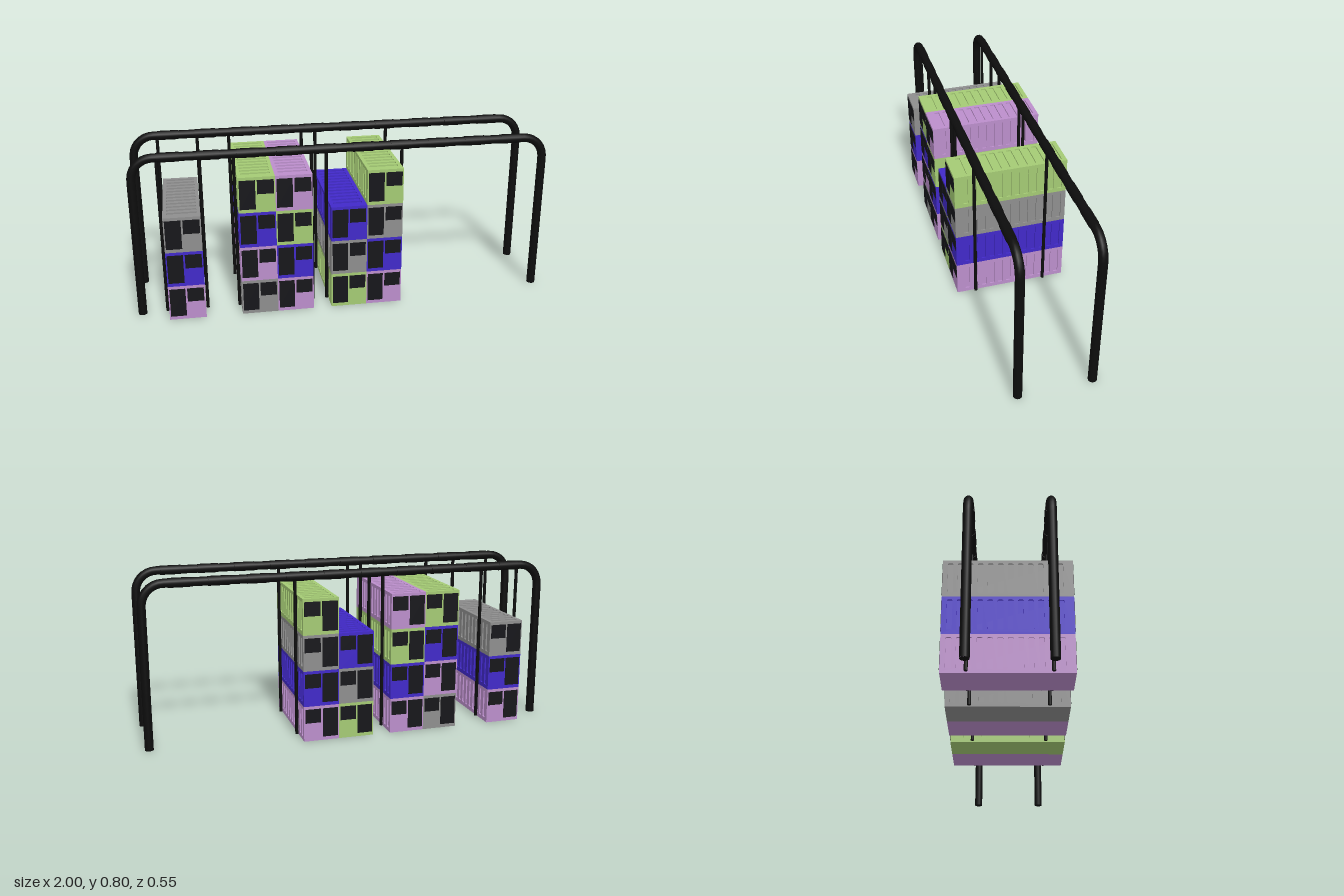
import * as THREE from 'three';

const W = 0.172, H = 0.1725, D = 0.542, SKIN = 0.007;
const mat = (color) => new THREE.MeshStandardMaterial({ color });
const black = mat(0x0d0d0d), glass = mat(0x16161a);
const paint = {
  green: mat(0xa4ca74), lilac: mat(0xbb8ecb), blue: mat(0x4129c9), grey: mat(0x8e8e8e),
};

function add(parent, name, geometry, material, x = 0, y = 0, z = 0) {
  const mesh = new THREE.Mesh(geometry, material);
  mesh.name = name;
  mesh.position.set(x, y, z);
  parent.add(mesh);
  return mesh;
}

// Trace a rounded rectangle
function roundedRect(x0, y0, x1, y1, r) {
  const p = new THREE.Path();
  p.moveTo(x0 + r, y0);
  p.lineTo(x1 - r, y0).quadraticCurveTo(x1, y0, x1, y0 + r);
  p.lineTo(x1, y1 - r).quadraticCurveTo(x1, y1, x1 - r, y1);
  p.lineTo(x0 + r, y1).quadraticCurveTo(x0, y1, x0, y1 - r);
  p.lineTo(x0, y0 + r).quadraticCurveTo(x0, y0, x0 + r, y0);
  return p;
}

// Skin with a row of slots: shape x runs along the container, y across it
function slottedPanel(width, y0, y1) {
  const s = new THREE.Shape();
  s.moveTo(-D / 2, 0);
  s.lineTo(D / 2, 0).lineTo(D / 2, width).lineTo(-D / 2, width).closePath();
  for (let i = 0; i < 12; i++) {
    const z = -0.238 + i * 0.0415;
    s.holes.push(roundedRect(z - 0.0115, y0, z + 0.0115, y1, 0.004));
  }
  return new THREE.ExtrudeGeometry(s, { depth: SKIN, bevelEnabled: false, curveSegments: 2 });
}

// Panels are turned so that shape x becomes +z
const sidePanel = slottedPanel(H, 0.019, 0.157).rotateY(-Math.PI / 2);
const topPanel = slottedPanel(W - 2 * SKIN, 0.01, W - 2 * SKIN - 0.01)
  .rotateY(-Math.PI / 2).rotateZ(-Math.PI / 2);
const core = new THREE.BoxGeometry(W - 2 * SKIN, H - SKIN, D);
const doorGeo = new THREE.BoxGeometry(0.074, 0.141, 0.004);
const windowGeo = new THREE.BoxGeometry(0.077, 0.068, 0.004);

// One container, standing on its own y = 0
function container(material) {
  const g = new THREE.Group();
  g.name = 'container';
  add(g, 'body', core, material, 0, (H - SKIN) / 2, 0);
  add(g, 'leftSide', sidePanel, material, W / 2, 0, 0);
  add(g, 'rightSide', sidePanel, material, -W / 2 + SKIN, 0, 0);
  add(g, 'roof', topPanel, material, -W / 2 + SKIN, H - SKIN, 0);
  for (const s of [1, -1]) {
    add(g, 'door', doorGeo, glass, -0.043, 0.0875, s * D / 2);
    add(g, 'window', windowGeo, glass, 0.041, 0.124, s * D / 2);
  }
  return g;
}

// Bent tube frame with sleeves along the bar and slim posts beside the stacks
function portalFrame(z) {
  const g = new THREE.Group();
  g.name = 'portalFrame';
  const X = 0.98, Y = 0.778, R = 0.1;
  const v = (x, y) => new THREE.Vector3(x, y, 0);
  const pts = [v(-X, 0)];
  for (let i = 0; i <= 8; i++) {
    const a = Math.PI - (i / 8) * Math.PI / 2;
    pts.push(v(-X + R + R * Math.cos(a), Y - R + R * Math.sin(a)));
  }
  for (const p of pts.slice().reverse()) pts.push(v(-p.x, p.y));
  const path = new THREE.CurvePath();
  for (let i = 1; i < pts.length; i++) path.add(new THREE.LineCurve3(pts[i - 1], pts[i]));
  add(g, 'frameTube', new THREE.TubeGeometry(path, 160, 0.0205, 14, false), black);
  for (const x of [-X, X]) {
    add(g, 'foot', new THREE.CircleGeometry(0.0205, 14).rotateX(Math.PI / 2), black, x, 0, 0);
  }
  const sleeve = new THREE.CylinderGeometry(0.0225, 0.0225, 0.1, 14).rotateZ(Math.PI / 2);
  for (let i = 0; i < 10; i++) add(g, 'sleeve', sleeve, black, -0.81 + i * 0.18, Y, 0);
  const post = new THREE.CylinderGeometry(0.008, 0.008, Y - 0.005, 10);
  for (const x of [-0.862, -0.67, -0.516, -0.155, -0.086, 0.277]) {
    add(g, 'post', post, black, x, (Y + 0.005) / 2, 0);
  }
  g.position.z = z;
  return g;
}

export function createModel() {
  const model = new THREE.Group();
  model.name = 'containerStacks';

  // Stacks: right edge in x, then colours from the ground up
  const stacks = [
    [-0.852, ['lilac', 'blue', 'grey']],
    [-0.508, ['grey', 'lilac', 'blue', 'green']],
    [-0.336, ['lilac', 'blue', 'green', 'lilac']],
    [-0.077, ['green', 'grey', 'blue']],
    [0.095, ['lilac', 'blue', 'grey', 'green']],
  ];
  for (const [x, colours] of stacks) {
    const stack = new THREE.Group();
    stack.name = 'stack';
    colours.forEach((c, i) => {
      const box = container(paint[c]);
      box.position.set(x + W / 2, i * H, 0);
      stack.add(box);
    });
    model.add(stack);
  }

  for (const z of [0.181, -0.166]) model.add(portalFrame(z));
  return model;
}
